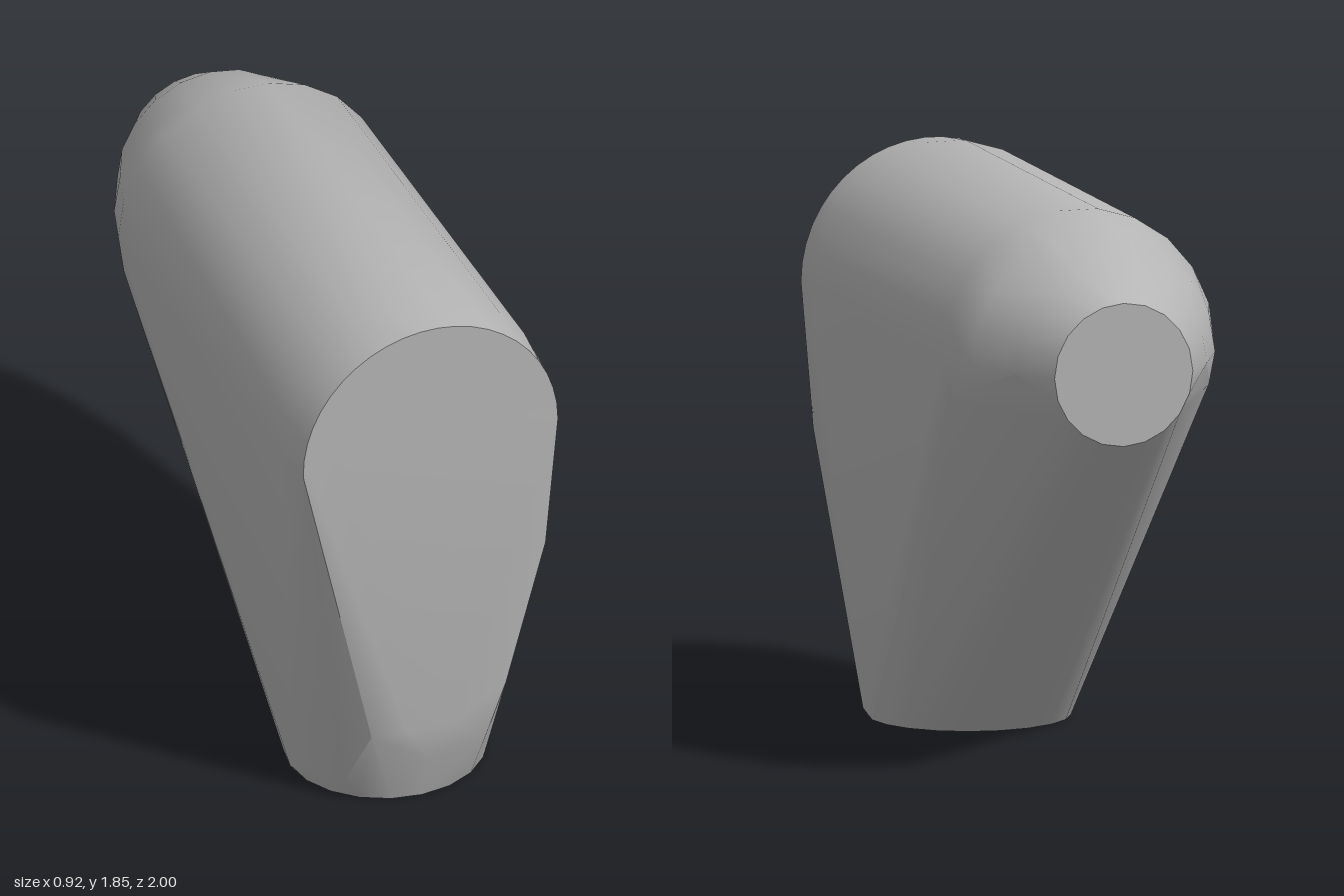
import * as THREE from 'three';
import { ConvexGeometry } from 'three/addons/geometries/ConvexGeometry.js';
import { toCreasedNormals } from 'three/addons/utils/BufferGeometryUtils.js';

// Points around an ellipse; place(a, b) puts them in space
function ring(ra, rb, count, place, from = 0, sweep = Math.PI * 2) {
  return Array.from({ length: count }, (_, i) => {
    const t = from + (sweep * i) / count;
    return place(ra * Math.cos(t), rb * Math.sin(t));
  });
}

// Upright ring at depth z
const upright = (z, cy) => (a, b) => new THREE.Vector3(a, cy + b, z);

export function createModel() {
  const group = new THREE.Group();
  const grey = new THREE.MeshStandardMaterial({ color: 0xb4b4b4 });
  grey.name = 'grey';

  const points = [
    // flat foot
    ...ring(0.33, 0.32, 20, (a, b) => new THREE.Vector3(a, 0, 0.61 + b)),
    new THREE.Vector3(0.342, 0.03, 0.67),
    new THREE.Vector3(-0.342, 0.03, 0.67),
    // rounded top: front rim, barrel and rear shoulder
    ...ring(0.445, 0.45, 24, upright(1, 1.38), 0, Math.PI * 1.05),
    ...ring(0.462, 0.465, 22, upright(0.85, 1.38)).filter((p) => p.y > 1.36),
    ...ring(0.462, 0.468, 22, upright(-0.53, 1.385)).filter((p) => p.y > 1.25),
    ...ring(0.415, 0.4, 20, upright(-0.68, 1.385)).filter((p) => p.y > 1.37),
    ...ring(0.325, 0.32, 20, upright(-0.87, 1.385)).filter((p) => p.y > 1.37),
    // flat rear end
    ...ring(0.235, 0.235, 20, upright(-1, 1.385)),
    // front face tapering down to the foot
    new THREE.Vector3(0.41, 0.9, 0.98),
    new THREE.Vector3(0.27, 0.4, 0.985),
    new THREE.Vector3(0.2, 0.18, 0.965),
    new THREE.Vector3(0.08, 0.3, 1),
    new THREE.Vector3(-0.08, 0.3, 1),
    new THREE.Vector3(0, 0.17, 0.98),
    new THREE.Vector3(-0.25, 0.06, 0.86),
    new THREE.Vector3(-0.2, 0.3, 0.985),
  ];

  const body = new THREE.Mesh(toCreasedNormals(new ConvexGeometry(points), 0.5), grey);
  body.name = 'body';
  group.add(body);
  return group;
}
